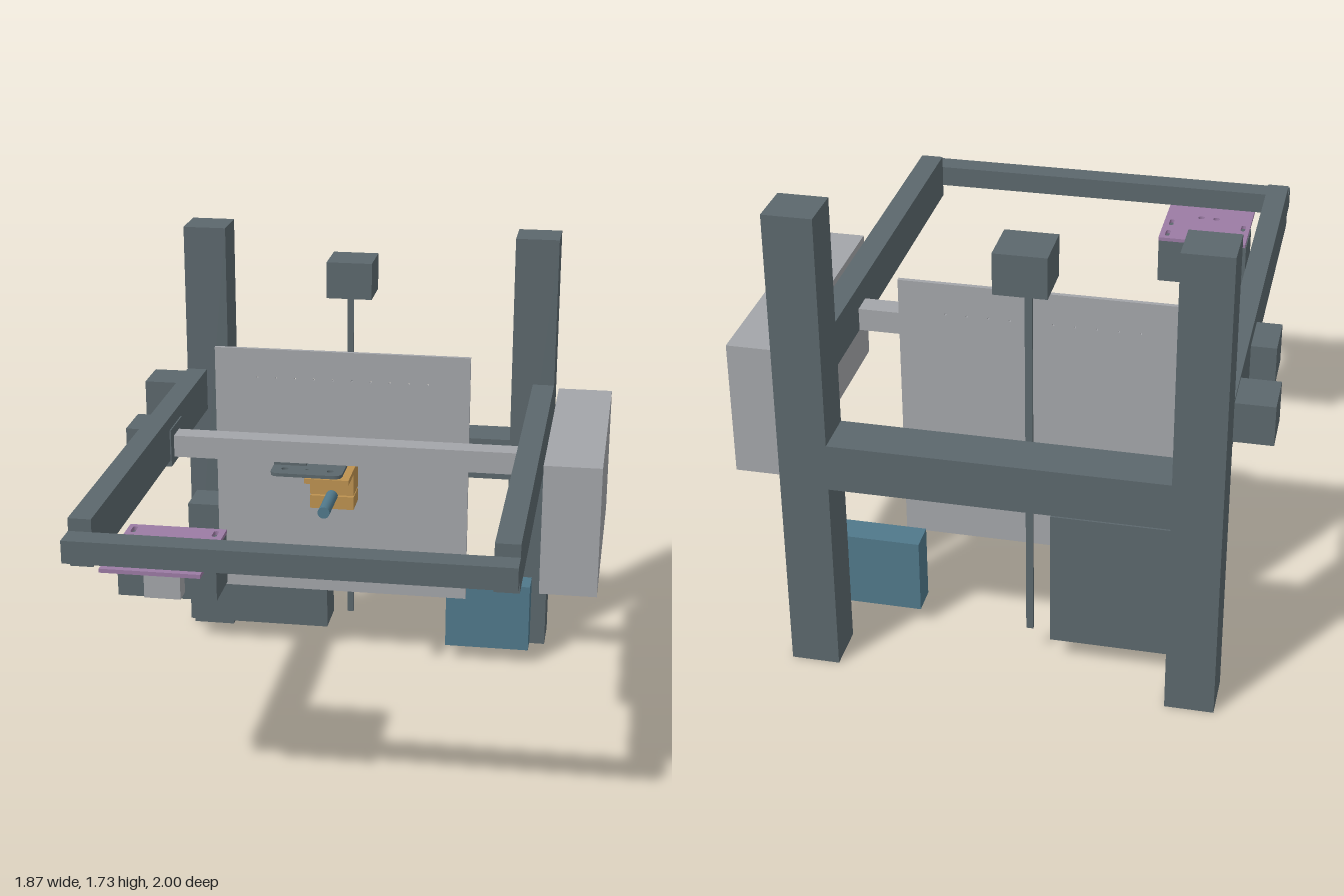
import * as THREE from 'three';

const mat = (name, color) => {
  const m = new THREE.MeshStandardMaterial({ color });
  m.name = name;
  return m;
};

export function createModel() {
  const model = new THREE.Group();
  model.name = 'gantryMachine';
  const dark = mat('dark slate', 0x5b676c);
  const grey = mat('light grey', 0xa3a5a9);
  const blue = mat('steel blue', 0x50788a);
  const orange = mat('orange', 0xbd9250);
  const purple = mat('purple', 0x9b7ba4);

  const add = (name, geometry, material) => {
    const mesh = new THREE.Mesh(geometry, material);
    mesh.name = name;
    model.add(mesh);
    return mesh;
  };
  // Box from its limits on each axis
  const box = (name, material, [x0, x1], [y0, y1], [z0, z1]) => {
    const g = new THREE.BoxGeometry(x1 - x0, y1 - y0, z1 - z0);
    g.translate((x0 + x1) / 2, (y0 + y1) / 2, (z0 + z1) / 2);
    return add(name, g, material);
  };
  // Shapes for flat plates are drawn in (x, -z) and laid down between y0 and y1
  const plate = (name, material, shape, y0, y1) => {
    const g = new THREE.ExtrudeGeometry(shape, { depth: y1 - y0, bevelEnabled: false, curveSegments: 16 });
    g.rotateX(-Math.PI / 2).translate(0, y0, 0);
    return add(name, g, material);
  };
  const polygon = (points, Type = THREE.Shape) => new Type(points.map(([x, y]) => new THREE.Vector2(x, y)));
  const rect = (x0, x1, y0, y1) => polygon([[x0, y0], [x1, y0], [x1, y1], [x0, y1]]);
  const roundHole = (shape, x, y, r) => shape.holes.push(new THREE.Path().absarc(x, y, r, 0, Math.PI * 2, true));
  const slotHole = (shape, x, y, r, half) => {
    const p = new THREE.Path();
    p.absarc(x, y + half, r, 0, Math.PI, false);
    p.absarc(x, y - half, r, Math.PI, Math.PI * 2, false);
    p.closePath();
    shape.holes.push(p);
  };

  // Upright frame
  box('rightPost', dark, [-0.8, -0.63], [0, 1.725], [-1, -0.83]);
  box('leftPost', dark, [0.53, 0.7], [0, 1.725], [-1, -0.83]);
  box('crossbar', dark, [-0.63, 0.53], [0.725, 0.895], [-1, -0.83]);

  // Horizontal frame
  box('rightArm', dark, [-0.8, -0.72], [0.965, 1.135], [-0.83, 0.89]);
  box('leftArm', dark, [0.615, 0.7], [0.965, 1.135], [-0.83, 0.89]);
  box('frontBar', dark, [-0.8, 0.7], [1.01, 1.09], [0.89, 0.98]);
  box('gantryBar', grey, [-0.72, 0.615], [0.965, 1.05], [-0.315, -0.23]);

  // Motors and lead screw
  box('liftMotor', dark, [-0.205, -0.025], [1.48, 1.625], [-0.92, -0.74]);
  box('liftScrew', dark, [-0.13, -0.105], [0.11, 1.48], [-0.807, -0.795]);
  box('rearSideMotor', dark, [-0.935, -0.755], [0.98, 1.125], [-0.83, -0.66]);
  box('gantryMotor', dark, [-0.89, -0.715], [0.94, 1.085], [-0.365, -0.185]);

  // Electronics boxes
  box('powerBox', dark, [-0.775, -0.195], [0.09, 0.605], [-0.83, -0.665]);
  box('controlBox', blue, [0.305, 0.645], [0.065, 0.345], [-0.72, -0.615]);
  box('sideCabinet', grey, [0.72, 0.93], [0.635, 1.13], [-0.81, 0.115]);

  // Upright sheet with a row of pin holes
  const sheet = rect(-0.62, 0.39, 0.305, 1.315);
  for (let i = 0; i < 10; i++) roundHole(sheet, -0.45 + i * 0.075, 1.2, 0.004);
  const sheetGeo = new THREE.ExtrudeGeometry(sheet, { depth: 0.016, bevelEnabled: false, curveSegments: 4 });
  add('uprightSheet', sheetGeo.translate(0, 0, -0.567), grey);

  // Tool carriage plate with rounded corners, a rear lobe and a diamond hole
  const c = new THREE.Shape();
  c.moveTo(-0.325, 0.335);
  c.lineTo(-0.325, 0.17);
  c.quadraticCurveTo(-0.325, 0.135, -0.29, 0.135);
  c.lineTo(-0.085, 0.135);
  c.quadraticCurveTo(-0.05, 0.135, -0.05, 0.17);
  c.lineTo(-0.05, 0.335);
  c.lineTo(-0.135, 0.335);
  c.absarc(-0.185, 0.355, 0.052, -0.39, Math.PI + 0.39, false);
  c.closePath();
  for (const [x, y, r] of [[-0.275, 0.19, 0.013], [-0.19, 0.195, 0.006], [-0.1, 0.185, 0.013]]) roundHole(c, x, y, r);
  c.holes.push(polygon([[-0.185, 0.335], [-0.208, 0.358], [-0.185, 0.381], [-0.162, 0.358]], THREE.Path));
  plate('carriagePlate', dark, c, 0.942, 0.955);
  box('carriageMount', dark, [-0.325, -0.2], [0.955, 0.965], [-0.335, -0.23]);

  // Tool holder: top flange, split clamp and spacers
  const flange = rect(-0.2, -0.03, 0.185, 0.42);
  roundHole(flange, -0.06, 0.378, 0.012);
  plate('holderFlange', orange, flange, 0.9, 0.92);
  box('clampUpper', orange, [-0.2, -0.03], [0.813, 0.9], [-0.42, -0.31]);
  box('clampLower', orange, [-0.2, -0.03], [0.755, 0.807], [-0.42, -0.31]);
  for (const x of [-0.143, -0.087]) {
    const spacer = new THREE.CylinderGeometry(0.012, 0.012, 0.022, 16);
    add('spacer', spacer.translate(x, 0.931, -0.25), dark);
  }
  const tool = new THREE.CylinderGeometry(0.023, 0.023, 0.43, 24);
  add('toolCylinder', tool.rotateX(Math.PI / 2).translate(-0.115, 0.81, -0.335), blue);

  // Drilled front mounting plate and the unit hanging below it
  const mount = rect(-0.67, -0.33, -0.995, -0.588);
  for (const x of [-0.645, -0.36]) for (const y of [-0.635, -0.735]) slotHole(mount, x, y, 0.009, 0.017);
  for (const x of [-0.53, -0.47]) roundHole(mount, x, -0.8, 0.013);
  plate('mountingPlate', purple, mount, 0.992, 1.006);
  box('hangingUnit', dark, [-0.673, -0.33], [0.815, 0.992], [0.595, 0.765]);
  box('hangingUnitFront', grey, [-0.565, -0.44], [0.84, 0.992], [0.765, 0.83]);

  return model;
}
